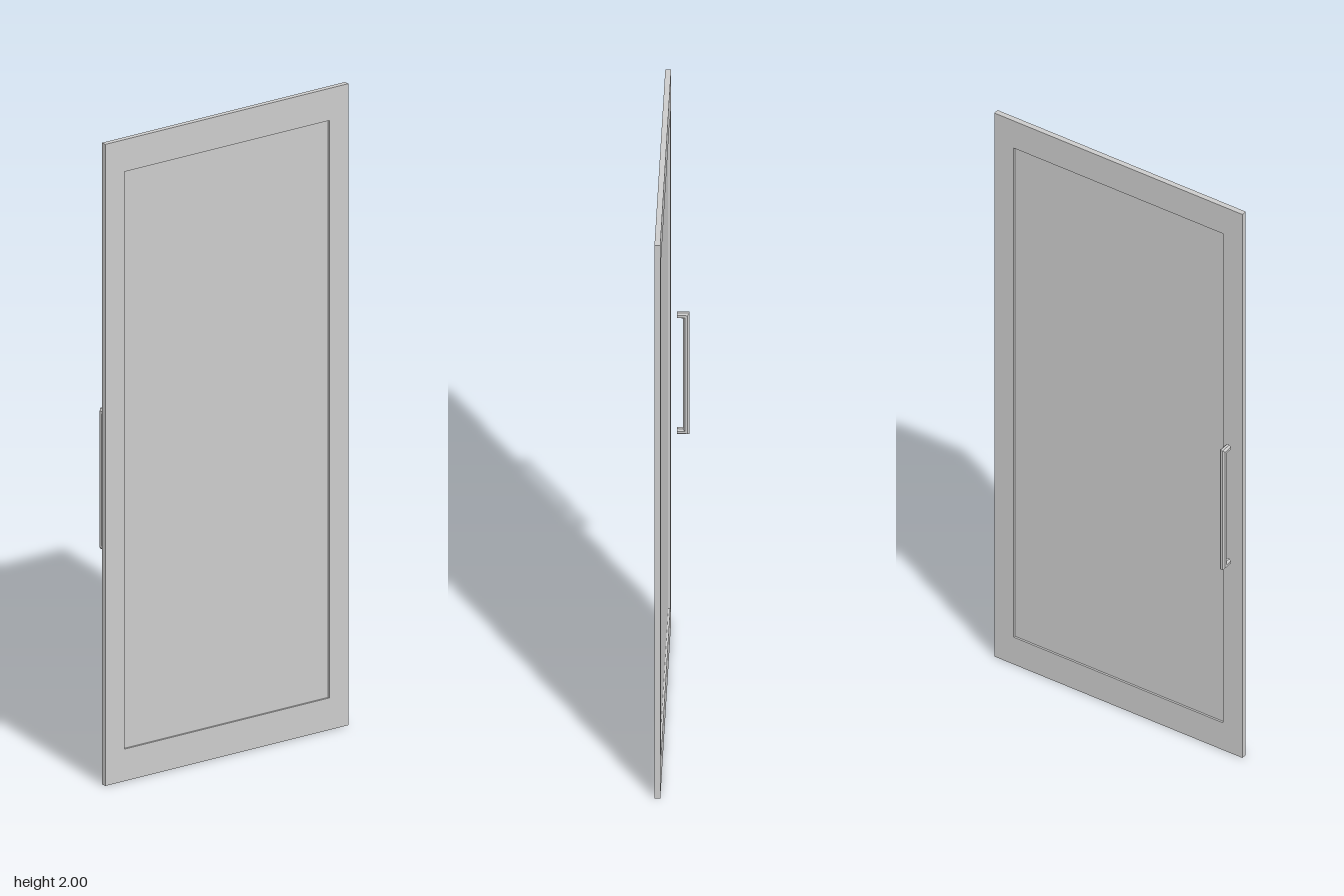
import * as THREE from 'three';

const HEIGHT = 2, WIDTH = 0.874;
const DOOR_X = 0.0275, THICK = 0.017;
const STILE = 0.068, RAIL = 0.1, PANEL_THICK = 0.005;

const material = new THREE.MeshStandardMaterial({ color: 0xcccccc, flatShading: true });

function addMesh(group, name, geometry) {
  const mesh = new THREE.Mesh(geometry, material);
  mesh.name = name;
  group.add(mesh);
  return mesh;
}

function rectangle(PathType, w, y0, y1) {
  const p = new PathType();
  p.moveTo(-w / 2, y0);
  p.lineTo(w / 2, y0);
  p.lineTo(w / 2, y1);
  p.lineTo(-w / 2, y1);
  p.closePath();
  return p;
}

// Octagonal bar bent into a bracket, with mitred corners and capped ends
function handleGeometry(y0, y1, xOuter, z, r, sides = 8) {
  const vertexR = r / Math.cos(Math.PI / sides);
  const xc = xOuter + r;
  const positions = [], index = [];
  // each ring: centre plus how the sideways offset u shifts x and y
  const rings = [
    { x: 0, y: y1 - r, dx: 0, dy: 1 },
    { x: xc, y: y1 - r, dx: -1, dy: 1 },
    { x: xc, y: y0 + r, dx: -1, dy: -1 },
    { x: 0, y: y0 + r, dx: 0, dy: -1 },
  ];
  for (const ring of rings) {
    for (let i = 0; i < sides; i++) {
      const a = ((i + 0.5) / sides) * Math.PI * 2;
      const u = Math.cos(a) * vertexR;
      positions.push(ring.x + ring.dx * u, ring.y + ring.dy * u, z + Math.sin(a) * vertexR);
    }
  }
  for (let k = 0; k < rings.length - 1; k++) {
    for (let i = 0; i < sides; i++) {
      const a = k * sides + i, b = k * sides + ((i + 1) % sides);
      index.push(a, a + sides, b, b, a + sides, b + sides);
    }
  }
  const last = (rings.length - 1) * sides;
  for (let i = 1; i < sides - 1; i++) {
    index.push(0, i, i + 1);
    index.push(last, last + i + 1, last + i);
  }
  const geometry = new THREE.BufferGeometry();
  geometry.setAttribute('position', new THREE.Float32BufferAttribute(positions, 3));
  geometry.setIndex(index);
  const flat = geometry.toNonIndexed();
  flat.computeVertexNormals();
  return flat;
}

export function createModel() {
  const model = new THREE.Group();
  model.name = 'cabinetDoor';

  // Frame: stiles and rails around the panel opening
  const outline = rectangle(THREE.Shape, WIDTH, 0, HEIGHT);
  outline.holes.push(rectangle(THREE.Path, WIDTH - 2 * STILE, RAIL, HEIGHT - RAIL));
  const frame = new THREE.ExtrudeGeometry(outline, { depth: THICK, bevelEnabled: false });
  frame.translate(0, 0, -THICK / 2).rotateY(Math.PI / 2);
  addMesh(model, 'doorFrame', frame).position.x = DOOR_X;

  // Panel: recessed on both faces
  const panel = new THREE.BoxGeometry(PANEL_THICK, HEIGHT - 2 * RAIL, WIDTH - 2 * STILE);
  addMesh(model, 'doorPanel', panel).position.set(DOOR_X, HEIGHT / 2, 0);

  // Pull handle, standing just clear of the door
  addMesh(model, 'handle', handleGeometry(0.712, 1.15, -0.036, 0.4, 0.0095));

  return model;
}
